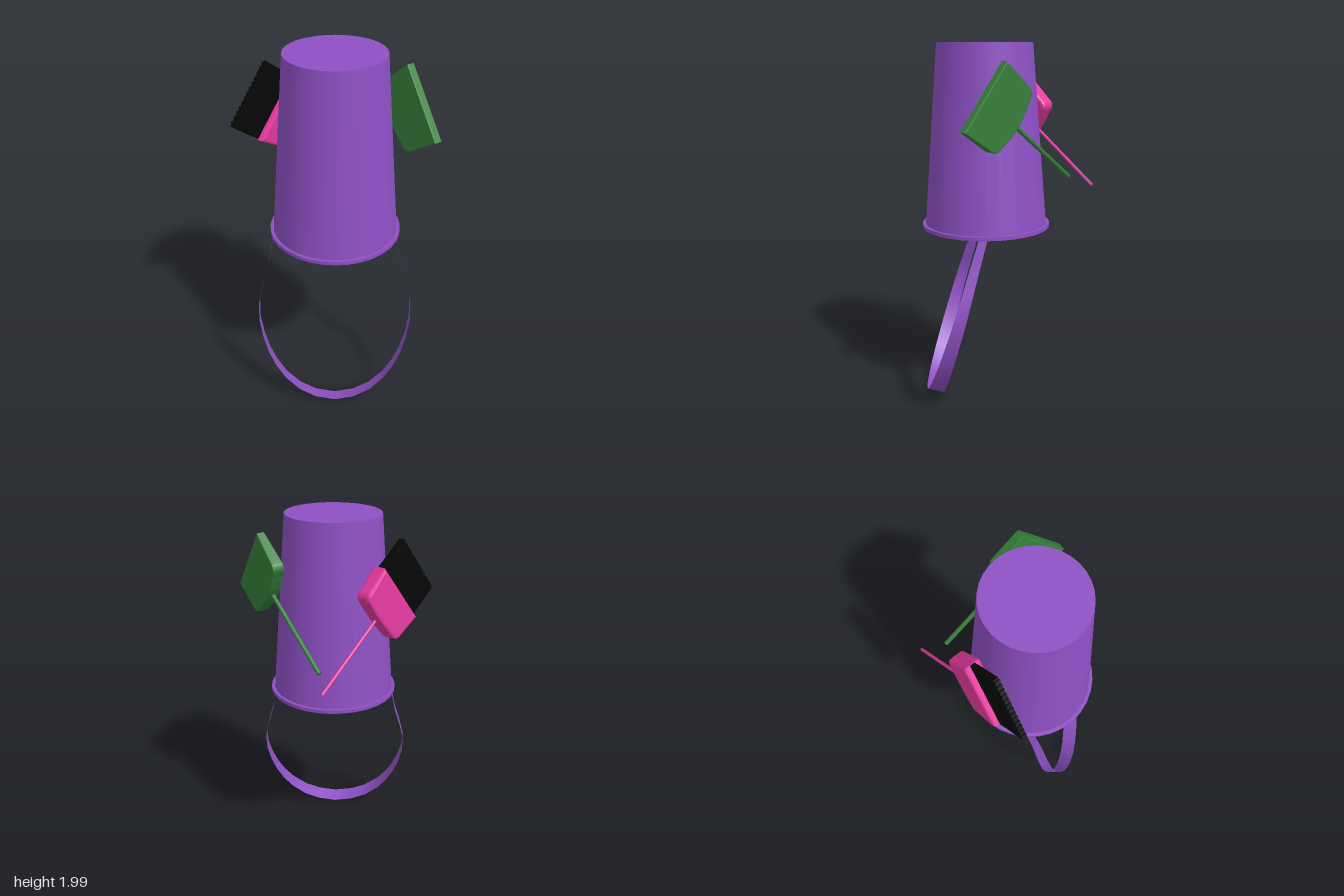
import * as THREE from 'three';
import { mergeGeometries } from 'three/addons/utils/BufferGeometryUtils.js';

const paint = (color, extra = {}) => new THREE.MeshStandardMaterial({ color, ...extra });

function add(parent, name, geometry, material, x = 0, y = 0, z = 0) {
  const mesh = new THREE.Mesh(geometry, material);
  mesh.name = name;
  mesh.position.set(x, y, z);
  parent.add(mesh);
  return mesh;
}

// Tool frame: origin at the middle of the working tip, local y from grip to tip,
// local x across the tip, local z out of the flat side.
function toolFrame(name, grip, tip, across) {
  const g = new THREE.Group();
  g.name = name;
  const v = new THREE.Vector3(...tip).sub(new THREE.Vector3(...grip)).normalize();
  const u = new THREE.Vector3(...across);
  u.addScaledVector(v, -u.dot(v)).normalize();
  const w = new THREE.Vector3().crossVectors(u, v);
  g.quaternion.setFromRotationMatrix(new THREE.Matrix4().makeBasis(u, v, w));
  g.position.set(...tip);
  return g;
}

// Symmetric plate with rounded grip-side corners, extruded with a small bevel
function plate(tipHalf, baseHalf, y0, y1, bulge, corner, thickness, bevel) {
  const s = new THREE.Shape();
  s.moveTo(-tipHalf, y1);
  s.lineTo(-baseHalf, y0 + corner);
  s.quadraticCurveTo(-baseHalf, y0, -baseHalf + corner, y0);
  s.quadraticCurveTo(0, y0 - bulge, baseHalf - corner, y0);
  s.quadraticCurveTo(baseHalf, y0, baseHalf, y0 + corner);
  s.lineTo(tipHalf, y1);
  s.closePath();
  const depth = thickness - 2 * bevel;
  const geo = new THREE.ExtrudeGeometry(s, {
    depth, bevelEnabled: true, bevelThickness: bevel, bevelSize: bevel,
    bevelOffset: -bevel, bevelSegments: 2, curveSegments: 6,
  });
  return geo.translate(0, 0, -depth / 2);
}

// Carrying strap: a thin ribbon, wider at the bottom of its loop
function strapGeometry() {
  const half = [[0.33, 1.01], [0.345, 0.93], [0.365, 0.83], [0.4, 0.71], [0.425, 0.6], [0.425, 0.5],
    [0.405, 0.4], [0.375, 0.31], [0.335, 0.23], [0.28, 0.155], [0.2, 0.085], [0.11, 0.042]];
  const path = [...half, [0, 0.023], ...half.slice().reverse().map(([x, y]) => [-x, y])];
  const pos = [], index = [];
  path.forEach(([x, y], i) => {
    const t = 1 - y;
    const z = 0.142 + 0.297 * t;
    const h = 0.022 + 0.024 * t;
    pos.push(x, y + 0.28 * h, z + 0.96 * h, x, y - 0.28 * h, z - 0.96 * h);
    if (i) {
      const a = 2 * i - 2;
      index.push(a, a + 1, a + 2, a + 1, a + 3, a + 2);
    }
  });
  const geo = new THREE.BufferGeometry();
  geo.setAttribute('position', new THREE.Float32BufferAttribute(pos, 3));
  geo.setIndex(index);
  geo.computeVertexNormals();
  return geo;
}

export function createModel() {
  const model = new THREE.Group();
  model.name = 'bucketWithTools';
  const purple = paint(0x8e50c4);
  const green = paint(0x357f39);
  const pink = paint(0xe53a9f);
  const black = paint(0x060606);

  // Upturned bucket with a thin rim
  const bucket = new THREE.Group();
  bucket.name = 'bucket';
  bucket.position.set(0.008, 0, 0.12);
  model.add(bucket);
  add(bucket, 'bucketBody', new THREE.CylinderGeometry(0.258, 0.338, 0.985, 32), purple, 0, 1.5075, 0);
  add(bucket, 'bucketRim', new THREE.CylinderGeometry(0.355, 0.355, 0.02, 32), purple, 0, 1.013, 0);
  add(model, 'strap', strapGeometry(), paint(0x8e50c4, { side: THREE.DoubleSide }), 0.006, 0, 0);

  // Shovel: blade thins towards the tip
  const shovel = toolFrame('shovel', [0.04, 1.26, -0.36], [0.45, 1.745, 0.135], [-0.14, 0.33, -0.21]);
  const blade = plate(0.207, 0.195, -0.235, 0, 0.045, 0.055, 0.07, 0.006);
  const p = blade.attributes.position;
  for (let i = 0; i < p.count; i++) {
    const k = THREE.MathUtils.clamp(1 + p.getY(i) / 0.25, 0, 1);
    p.setZ(i, p.getZ(i) * (1 - 0.35 * k));
  }
  blade.computeVertexNormals();
  add(shovel, 'shovelBlade', blade, green);
  add(shovel, 'shovelHandle', new THREE.CylinderGeometry(0.012, 0.012, 0.53, 10), green, 0, -0.5, 0);
  model.add(shovel);

  // Hand brush: block, thin handle and rows of bristles
  const brush = toolFrame('brush', [0.04, 1.23, -0.47], [-0.43, 1.755, 0.045], [0.18, 0.29, -0.15]);
  add(brush, 'brushBlock', plate(0.19, 0.175, -0.39, -0.2, 0.01, 0.05, 0.09, 0.015), pink);
  add(brush, 'brushHandle', new THREE.CylinderGeometry(0.009, 0.009, 0.5, 8), pink, 0, -0.622, 0);
  const bristles = [];
  for (let row = 0; row < 3; row++) {
    for (let i = 0; i < 40; i++) {
      const length = 0.225 + 0.004 * ((i * 7 + row * 3) % 3);
      bristles.push(new THREE.BoxGeometry(0.0094, length, 0.009)
        .translate(-0.182 + (i * 0.364) / 39, -0.23 + length / 2, (row - 1) * 0.009));
    }
  }
  add(brush, 'bristles', mergeGeometries(bristles), black);
  model.add(brush);

  return model;
}
